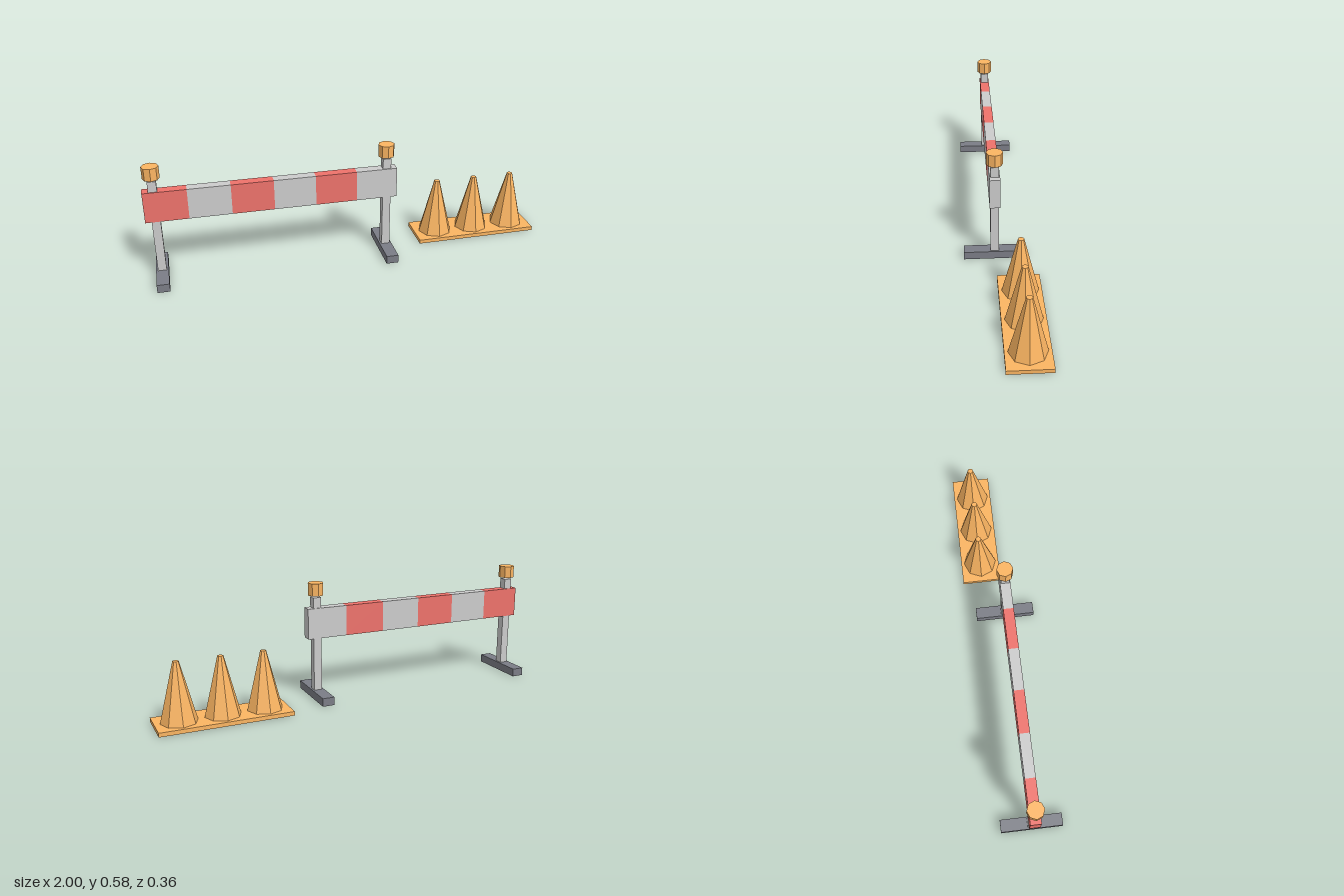
import * as THREE from 'three';

const material = (color) => new THREE.MeshStandardMaterial({ color, flatShading: true });

export function createModel() {
  const model = new THREE.Group();
  model.name = 'roadBarrierAndCones';

  const grey = material(0xcccccc);
  const red = material(0xee726b);
  const orange = material(0xfbb562);
  const dark = material(0x7b7d86);

  const add = (parent, name, geometry, mat, x, y, z) => {
    const mesh = new THREE.Mesh(geometry, mat);
    mesh.name = name;
    mesh.position.set(x, y, z);
    parent.add(mesh);
    return mesh;
  };

  // Barrier: striped board carried by two posts
  const barrier = new THREE.Group();
  barrier.name = 'barrier';
  model.add(barrier);
  const barrierZ = 0.026;

  const stripes = 6;
  const stripeWidth = 1.22 / stripes;
  const stripeGeometry = new THREE.BoxGeometry(stripeWidth, 0.152, 0.051);
  for (let i = 0; i < stripes; i++) {
    add(barrier, i % 2 ? 'greyStripe' : 'redStripe', stripeGeometry, i % 2 ? grey : red,
      -1 + (i + 0.5) * stripeWidth, 0.384, barrierZ);
  }

  // Each support: foot, post and a warning lamp hovering just above the post
  const footGeometry = new THREE.BoxGeometry(0.06, 0.041, 0.306);
  const postGeometry = new THREE.BoxGeometry(0.041, 0.471, 0.041);
  const lampGeometry = new THREE.CylinderGeometry(0.04, 0.04, 0.061, 8);
  for (const x of [-0.95, 0.17]) {
    const support = new THREE.Group();
    support.name = 'support';
    support.position.set(x, 0, barrierZ);
    barrier.add(support);
    add(support, 'foot', footGeometry, dark, 0, 0.0205, 0);
    add(support, 'post', postGeometry, grey, 0, 0.2765, 0);
    add(support, 'lamp', lampGeometry, orange, 0, 0.5525, 0);
  }

  // Row of three eight-sided cones on a shared base plate
  const cones = new THREE.Group();
  cones.name = 'coneRow';
  cones.position.set(0.6825, 0, -0.076);
  model.add(cones);
  add(cones, 'basePlate', new THREE.BoxGeometry(0.635, 0.02, 0.204), orange, 0, 0.01, 0);
  const coneGeometry = new THREE.CylinderGeometry(0.0145, 0.087, 0.287, 8);
  for (const i of [-1, 0, 1]) {
    add(cones, 'cone', coneGeometry, orange, i * 0.204, 0.1635, 0);
  }

  return model;
}
